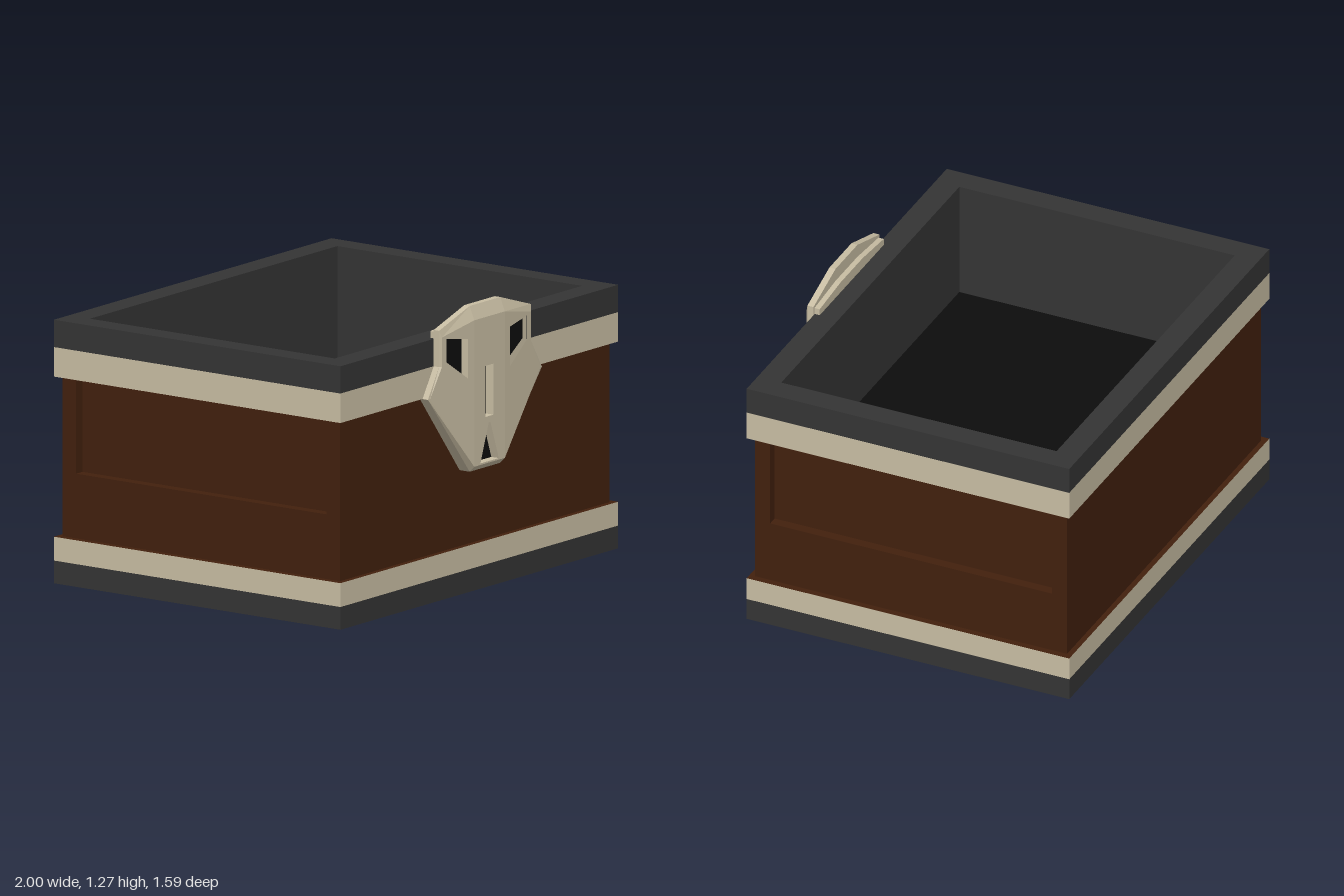
import * as THREE from 'three';

const mat = (name, color) => {
  const m = new THREE.MeshStandardMaterial({ color });
  m.name = name;
  return m;
};

const toShape = (pts) => new THREE.Shape(pts.map(([x, y]) => new THREE.Vector2(x, y)));
const mirror = (pts) => pts.map(([x, y]) => [-x, y]);
const rect = (x, y) => [[-x, -y], [x, -y], [x, y], [-x, y]];

export function createModel() {
  const wood = mat('brown wood', 0x42200d);
  const bone = mat('bone', 0xc8bda3);
  const iron = mat('dark iron', 0x343434);
  const black = mat('black', 0x0d0d0d);

  const model = new THREE.Group();
  const crate = new THREE.Group();
  crate.name = 'crate';
  crate.position.z = -0.0275;
  const skull = new THREE.Group();
  skull.name = 'skullEmblem';
  model.add(crate, skull);

  const add = (parent, name, geometry, material) => {
    const mesh = new THREE.Mesh(geometry, material);
    mesh.name = name;
    parent.add(mesh);
    return mesh;
  };
  const extrude = (pts, holes, depth) => {
    const shape = toShape(pts);
    shape.holes = holes.map(toShape);
    return new THREE.ExtrudeGeometry(shape, { depth, bevelEnabled: false });
  };
  // Horizontal block or ring between two heights
  const slab = (name, pts, holes, y0, y1, caps, sides) => {
    const g = extrude(pts, holes, y1 - y0).rotateX(-Math.PI / 2).translate(0, y0, 0);
    add(crate, name, g, [caps, sides]);
  };

  // Base bands
  const outer = rect(1, 0.7675), wall = rect(0.97, 0.7425), inside = rect(0.89, 0.655);
  slab('baseIronBand', outer, [], 0, 0.1, wood, iron);
  slab('baseBoneBand', outer, [], 0.1, 0.205, wood, bone);

  // Body: solid below, hollow above with a shallow recess in each end
  slab('lowerBody', wall, [], 0.205, 0.49, wood, wood);
  const notch = [[0.97, -0.7425], [0.97, -0.67], [0.925, -0.67], [0.925, 0.67], [0.97, 0.67], [0.97, 0.7425]];
  const notched = [...notch, ...mirror(notch).reverse()];
  slab('recessedWalls', notched, [rect(0.905, 0.67)], 0.49, 0.912, wood, wood);

  // Rim bands and inner lining
  slab('rimBoneBand', outer, [rect(0.9, 0.665)], 0.91, 1.04, iron, bone);
  slab('rimIronBand', outer, [inside], 1.04, 1.16, iron, iron);
  slab('innerLining', rect(0.91, 0.675), [inside], 0.6, 1.04, iron, iron);
  const floor = new THREE.PlaneGeometry(1.79, 1.32).rotateX(-Math.PI / 2).translate(0, 0.63, 0);
  add(crate, 'innerFloor', floor, black);

  // Skull outlines, right half from top to bottom
  const full = (half) => [...[...half].reverse(), ...mirror(half)];
  const outerHalf = [[0.11, 1.27], [0.33, 1.2], [0.33, 1.04], [0.41, 0.91], [0.11, 0.54]];
  const innerHalf = [[0.11, 1.21], [0.32, 1.17], [0.32, 1.04], [0.398, 0.91], [0.11, 0.565]];
  const mountHalf = [[0.11, 1.21], [0.32, 1.19], [0.32, 1.04], [0.4, 0.91], [0.11, 0.54]];
  const frontZ = (x) => 0.795 - 0.08 * Math.max(0, Math.abs(x) - 0.11);

  add(skull, 'skullMount', extrude(full(mountHalf), [], 0.026).translate(0, 0, 0.716), bone);
  add(skull, 'skullBack', extrude(full(outerHalf), [], 0.006).translate(0, 0, 0.741), bone);

  // Skull edge and bevel, lofted through three rings
  const rings = [
    full(outerHalf).map(([x, y]) => [x, y, 0.741]),
    full(outerHalf).map(([x, y]) => [x, y, 0.77]),
    full(innerHalf).map(([x, y]) => [x, y, frontZ(x)]),
  ];
  const pos = [];
  for (let r = 0; r < 2; r++) {
    const a = rings[r], b = rings[r + 1];
    for (let i = 0; i < a.length; i++) {
      const j = (i + 1) % a.length;
      pos.push(...a[i], ...a[j], ...b[j], ...a[i], ...b[j], ...b[i]);
    }
  }
  const edge = new THREE.BufferGeometry();
  edge.setAttribute('position', new THREE.Float32BufferAttribute(pos, 3));
  edge.computeVertexNormals();
  add(skull, 'skullEdge', edge, bone);

  // Face panels with cut openings, sloping back from the centre
  const facePanel = (name, pts, holes) => {
    const g = extrude(pts, holes, 0.04);
    const p = g.attributes.position;
    for (let i = 0; i < p.count; i++) p.setZ(i, p.getZ(i) > 0.02 ? frontZ(p.getX(i)) : 0.745);
    g.computeVertexNormals();
    add(skull, name, g, bone);
    // Black backing behind each opening
    holes.forEach((h) => add(skull, name + 'Opening', new THREE.ShapeGeometry(toShape(h)).translate(0, 0, 0.755), black));
  };
  const eye = [[0.15, 1.135], [0.29, 1.158], [0.29, 1.055], [0.15, 0.96]];
  const nose = [[-0.028, 0.77], [0.028, 0.77], [0.028, 0.995], [-0.028, 0.995]];
  const mouth = [[-0.066, 0.572], [0.066, 0.572], [0.006, 0.742], [-0.006, 0.742]];
  facePanel('leftCheek', innerHalf, [eye]);
  facePanel('rightCheek', mirror(innerHalf), [mirror(eye)]);
  facePanel('noseBridge', [[-0.11, 0.565], [0.11, 0.565], [0.11, 1.21], [-0.11, 1.21]], [nose, mouth]);

  return model;
}
